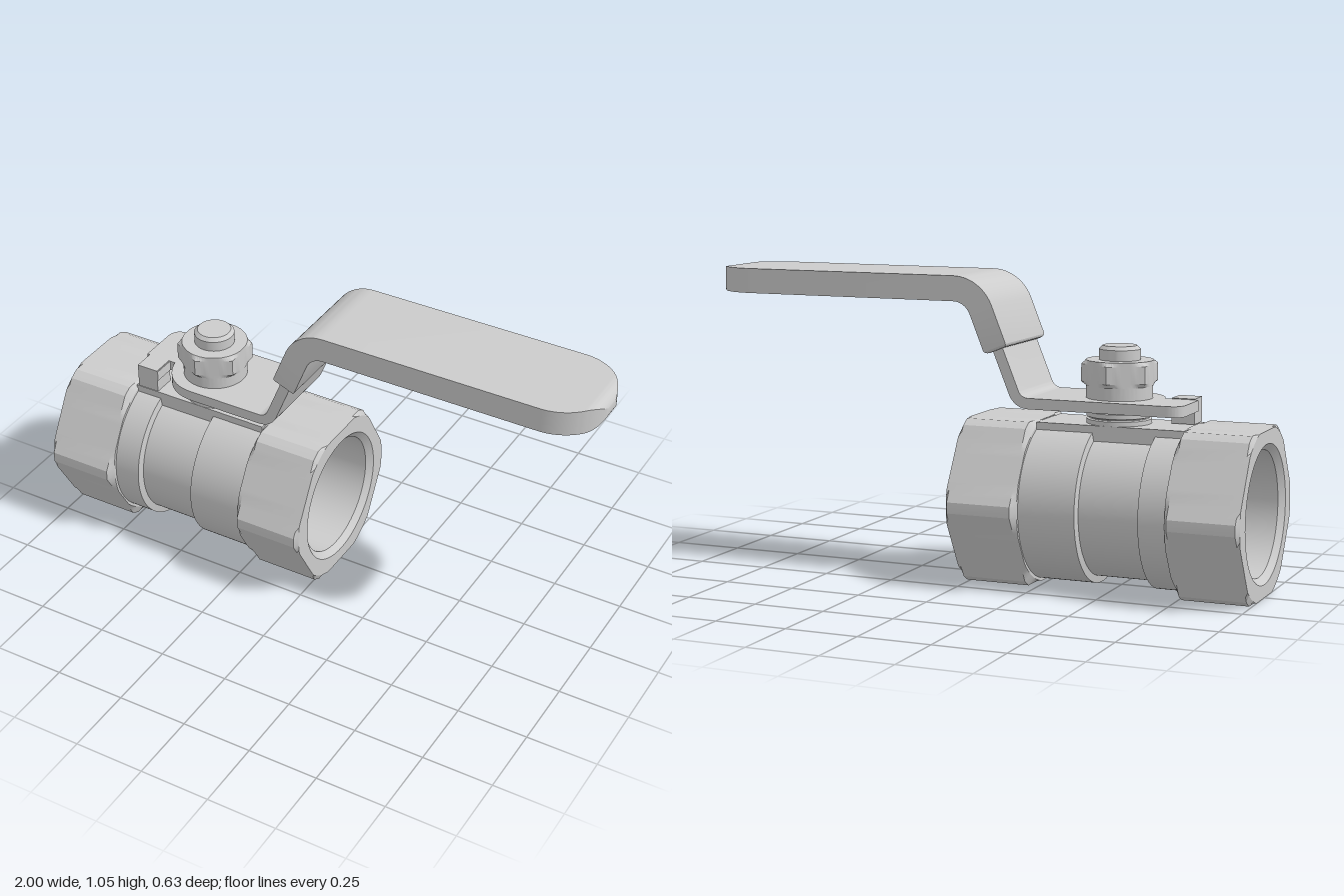
import * as THREE from 'three';
import { toCreasedNormals } from 'three/addons/utils/BufferGeometryUtils.js';

const material = new THREE.MeshStandardMaterial({ color: 0xcccccc });
const AXIS_Y = 0.28; // height of the pipe axis
const STEM_X = -0.485;

// Skin between equal-length rings of points, with optional end caps
function loft(rings, capped) {
  const pos = [];
  const tri = (...pts) => pts.forEach((p) => pos.push(p[0], p[1], p[2]));
  const n = rings[0].length;
  for (let i = 0; i < rings.length - 1; i++) {
    for (let j = 0; j < n; j++) {
      const k = (j + 1) % n;
      const a = rings[i][j], b = rings[i + 1][j], c = rings[i + 1][k], d = rings[i][k];
      tri(a, b, c);
      tri(a, c, d);
    }
  }
  if (capped) {
    const s = rings[0], e = rings[rings.length - 1];
    for (let j = 1; j < n - 1; j++) {
      tri(s[0], s[j], s[j + 1]);
      tri(e[0], e[j + 1], e[j]);
    }
  }
  const geo = new THREE.BufferGeometry();
  geo.setAttribute('position', new THREE.Float32BufferAttribute(pos, 3));
  return toCreasedNormals(geo, 0.35);
}

// Turned profile [x, radius] around the x axis, clipped by a hexagon
function hexTurned(apothem, profile) {
  const side = [-26.55, 26.55];
  for (let a = -30; a < 30; a += 3.75) side.push(a);
  side.sort((a, b) => a - b);
  const angles = [];
  for (let s = 0; s < 6; s++) side.forEach((a) => angles.push([a, a + s * 60]));
  const rad = Math.PI / 180;
  return loft(profile.map(([x, R]) => angles.map(([local, a]) => {
    const r = Math.min(R, apothem / Math.cos(local * rad));
    return [x, r * Math.cos(a * rad), r * Math.sin(a * rad)];
  })), false);
}

// Flat bar along a path of [x, y, angle, halfThickness, halfWidth]
function bar(stations) {
  return loft(stations.map(([x, y, a, t, w]) => {
    const nx = -Math.sin(a) * t, ny = Math.cos(a) * t;
    return [[x + nx, y + ny, w], [x + nx, y + ny, -w], [x - nx, y - ny, -w], [x - nx, y - ny, w]];
  }), true);
}

function lathe(points) {
  const geo = new THREE.LatheGeometry(points.map(([r, y]) => new THREE.Vector2(r, y)), 48);
  return toCreasedNormals(geo, 0.5);
}

export function createModel() {
  const group = new THREE.Group();
  const add = (name, geo, x = 0, y = 0, z = 0) => {
    const mesh = new THREE.Mesh(geo, material);
    mesh.name = name;
    mesh.position.set(x, y, z);
    group.add(mesh);
    return mesh;
  };

  // Valve body: hexagonal ends, stepped barrel and through bore
  add('valveBody', hexTurned(0.28, [
    [0.022, 0.235], [0.022, 0.295], [0.012, 0.313], [-0.215, 0.313], [-0.23, 0.285],
    [-0.23, 0.275], [-0.43, 0.275], [-0.435, 0.25], [-0.645, 0.25], [-0.65, 0.275],
    [-0.745, 0.275], [-0.745, 0.285], [-0.76, 0.313], [-0.99, 0.313], [-1, 0.295],
    [-1, 0.235], [-0.98, 0.213], [-0.73, 0.213], [-0.73, 0.11],
    [-0.25, 0.11], [-0.25, 0.213], [0.002, 0.213], [0.022, 0.235],
  ]), 0, AXIS_Y);

  // Flat pad on top of the barrel
  add('topPad', new THREE.BoxGeometry(0.52, 0.057, 0.22), -0.49, 0.5285);

  // Stem packing with grooves, below the lever
  add('stemPacking', lathe([
    [0, 0.54], [0.11, 0.54], [0.11, 0.572], [0.102, 0.575], [0.102, 0.578], [0.11, 0.581],
    [0.11, 0.596], [0.1, 0.6], [0.1, 0.61], [0, 0.61],
  ]), STEM_X);

  // Nut with round collar
  const nut = add('stemNut', hexTurned(0.113, [
    [0.77, 0], [0.77, 0.114], [0.757, 0.131], [0.698, 0.131], [0.685, 0.114],
    [0.685, 0.112], [0.638, 0.112], [0.638, 0],
  ]), STEM_X);
  nut.rotation.z = Math.PI / 2;

  // Threaded stud end
  add('stemEnd', lathe([[0.07, 0.76], [0.07, 0.806], [0.058, 0.818], [0, 0.818]]), STEM_X);

  // Lever plate outline, drawn in x and z
  const outline = new THREE.Shape();
  outline.moveTo(-0.215, -0.153);
  outline.lineTo(-0.7, -0.153);
  outline.quadraticCurveTo(-0.753, -0.153, -0.753, -0.1);
  outline.lineTo(-0.753, 0.03);
  outline.lineTo(-0.74, 0.03);
  outline.lineTo(-0.74, 0.11);
  outline.lineTo(-0.657, 0.11);
  outline.lineTo(-0.657, 0.03);
  outline.lineTo(-0.637, 0.03);
  outline.bezierCurveTo(-0.62, 0.1, -0.57, 0.153, -0.49, 0.153);
  outline.lineTo(-0.215, 0.153);
  const plate = new THREE.ExtrudeGeometry(outline, { depth: 0.037, bevelEnabled: false, curveSegments: 16 });
  plate.rotateX(Math.PI / 2);
  add('leverPlate', toCreasedNormals(plate, 0.5), 0, 0.642);

  // Stop tab at the end of the plate
  add('stopTab', new THREE.BoxGeometry(0.08, 0.086, 0.08), -0.7, 0.602, 0.07);

  // Bent neck of the lever
  const slope = 68 * Math.PI / 180;
  const neck = [];
  for (let i = 0; i <= 8; i++) {
    const a = slope * i / 8;
    neck.push([-0.215 + 0.055 * Math.sin(a), 0.6785 - 0.055 * Math.cos(a), a, 0.0185, 0.153]);
  }
  neck.push([-0.1, 0.815, slope, 0.0185, 0.153]);
  add('leverNeck', bar(neck));

  // Grip sleeve: rounded lip, bend, straight run, rounded tip
  const T = 0.043, W = 0.174, gripY = 1.0025, R = 0.11;
  const grip = [];
  for (let i = 0; i <= 4; i++) {
    const a = (i / 4) * Math.PI / 2;
    const d = 0.014 * (1 - Math.sin(a)), s = 0.014 * (1 - Math.cos(a));
    grip.push([-0.106 + s * Math.cos(slope), 0.8 + s * Math.sin(slope), slope, T - d, W - d]);
  }
  for (let i = 0; i <= 12; i++) {
    const a = slope * (1 - i / 12);
    grip.push([0.05 - R * Math.sin(a), gripY - R + R * Math.cos(a), a, T, W]);
  }
  for (let i = 0; i < 28; i++) {
    const a = (i / 28) * Math.PI / 2;
    const x = 1 - W + W * Math.sin(a);
    const e = Math.max(0, x - (1 - T));
    grip.push([x, gripY, 0, Math.sqrt(T * T - e * e), W * Math.cos(a)]);
  }
  add('leverGrip', bar(grip));

  return group;
}
